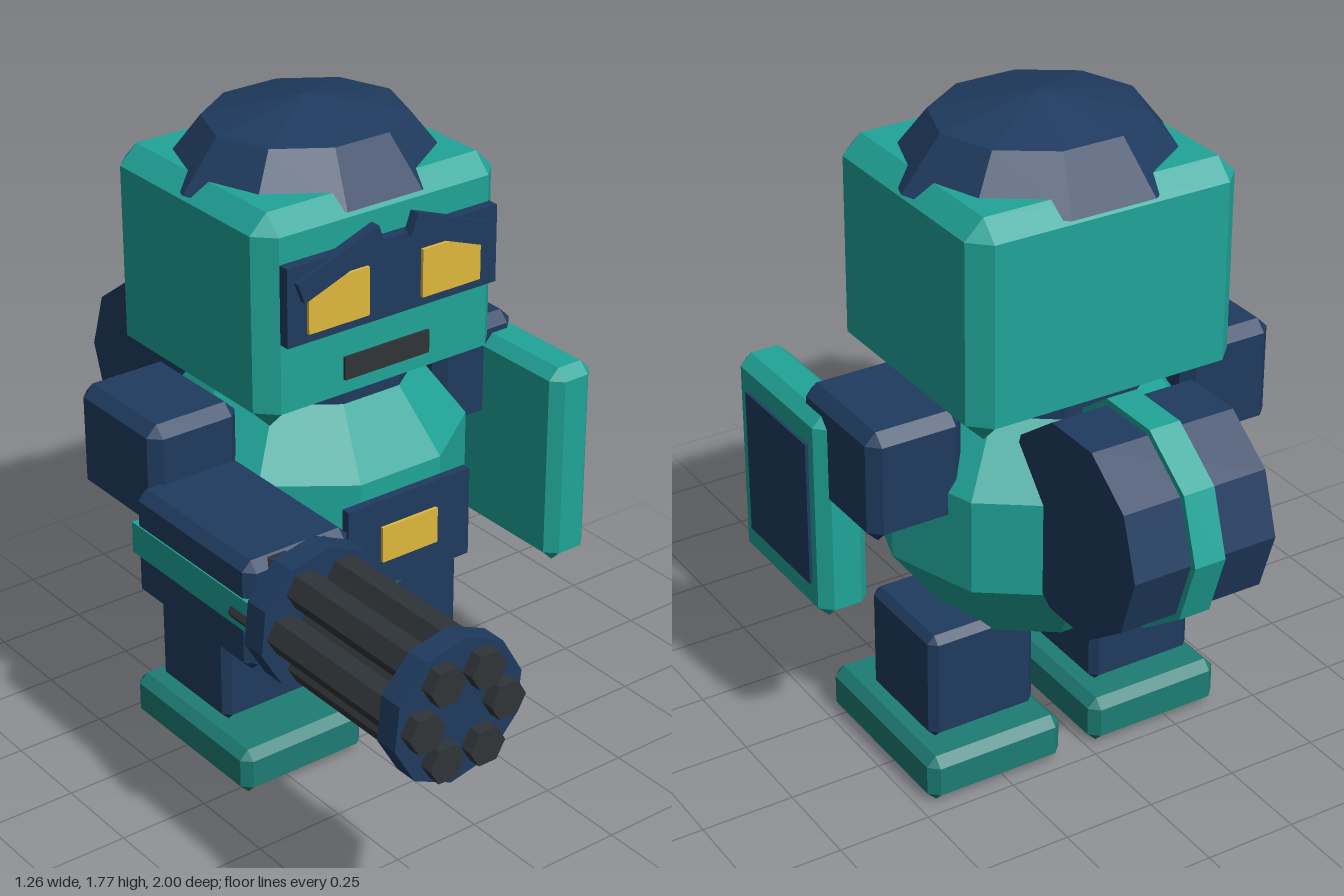
import * as THREE from 'three';

const mat = (name, color) => {
  const m = new THREE.MeshStandardMaterial({ color });
  m.name = name;
  return m;
};

// Faceted normals for any geometry
function flat(g) {
  const f = g.index ? g.toNonIndexed() : g;
  f.computeVertexNormals();
  return f;
}

// Box with chamfered top and upright edges, a recessed underside and small corner points below
function chamferBox(w, h, d, c) {
  const X = w / 2, Y = h / 2, Z = d / 2;
  const low = [], high = [], top = [], under = [], out = [];
  const tri = (...pts) => pts.forEach((p) => out.push(...p));
  for (const [sx, sz] of [[1, 1], [1, -1], [-1, -1], [-1, 1]]) {
    const p = [sx * X, sz * (Z - c)], q = [sx * (X - c), sz * Z];
    const inset = (y) => [sx * (X - c), y, sz * (Z - c)];
    const pair = sx * sz > 0 ? [q, p] : [p, q];
    for (const [x, z] of pair) {
      low.push([x, c - Y, z]);
      high.push([x, Y - c, z]);
      top.push(inset(Y));
      under.push(inset(2 * c - Y));
    }
    const [first, second] = low.slice(-2);
    tri(inset(-Y), second, first);
  }
  for (let i = 0; i < 8; i++) {
    const j = (i + 1) % 8;
    tri(low[i], low[j], high[j]);
    tri(low[i], high[j], high[i]);
    tri(high[i], high[j], top[i]);
    tri(low[j], low[i], under[i]);
    if (i % 2) {
      tri(high[j], top[j], top[i]);
      tri(low[j], under[i], under[j]);
    }
  }
  for (const [a, b] of [[2, 4], [4, 6]]) {
    tri(top[0], top[a], top[b]);
    tri(under[0], under[b], under[a]);
  }
  const g = new THREE.BufferGeometry();
  g.setAttribute('position', new THREE.Float32BufferAttribute(out, 3));
  g.computeVertexNormals();
  return g;
}

export function createModel() {
  const model = new THREE.Group();
  model.name = 'robot';
  const teal = mat('teal', 0x20a498);
  const darkTeal = mat('darkTeal', 0x1d7c74);
  const navy = mat('navy', 0x1f3b5f);
  const gold = mat('gold', 0xe0b83c);
  const grey = mat('gunmetal', 0x2f3438);

  const add = (name, geometry, material, x = 0, y = 0, z = 0) => {
    const mesh = new THREE.Mesh(geometry, material);
    mesh.name = name;
    mesh.position.set(x, y, z);
    model.add(mesh);
    return mesh;
  };
  // Boxes given by their limits on each axis; c is the chamfer
  const block = (name, material, [x0, x1], [y0, y1], [z0, z1], c = 0) => {
    const size = [x1 - x0, y1 - y0, z1 - z0];
    const g = c ? chamferBox(...size, c) : new THREE.BoxGeometry(...size);
    return add(name, g, material, (x0 + x1) / 2, (y0 + y1) / 2, (z0 + z1) / 2);
  };
  const lathe = (name, material, points, x, z) => add(name,
    flat(new THREE.LatheGeometry(points.map((p) => new THREE.Vector2(...p)), 10, Math.PI / 2)),
    material, x, 0, z);
  const MID = 0.035, BACK = -0.255;

  // Feet and legs
  for (const s of [-1, 1]) {
    const side = s > 0 ? 'left' : 'right', cx = MID + s * 0.24;
    block(side + 'Foot', darkTeal, [cx - 0.195, cx + 0.195], [0, 0.13], [-0.47, 0.05], 0.025);
    block(side + 'Leg', navy, [cx - 0.152, cx + 0.152], [0.14, 0.44], [-0.4, -0.095], 0.02);
  }

  // Body and neck
  lathe('body', teal,
    [[0, 0.42], [0.265, 0.42], [0.415, 0.62], [0.415, 0.87], [0.262, 1.07], [0, 1.07]], MID, BACK);
  lathe('neck', navy, [[0, 1.01], [0.287, 1.01], [0.287, 1.1], [0, 1.1]], MID, BACK);
  block('bellyPanel', navy, [-0.16, 0.23], [0.58, 0.83], [0.153, 0.177]);
  block('buckle', gold, [-0.057, 0.12], [0.655, 0.755], [0.177, 0.186]);

  // Head and helmet
  block('head', teal, [-0.34, 0.405], [1.055, 1.625], [-0.58, 0.078], 0.05);
  const helmet = lathe('helmet', navy,
    [[0, 1.585], [0.373, 1.585], [0.268, 1.715], [0, 1.767]], MID, BACK);
  helmet.scale.z = 0.92;

  // Face
  block('visor', navy, [-0.29, 0.36], [1.295, 1.505], [0.07, 0.108]);
  block('mouth', grey, [-0.1, 0.165], [1.145, 1.207], [0.078, 0.087]);
  for (const s of [-1, 1]) {
    const side = s > 0 ? 'left' : 'right', cx = MID + s * 0.175;
    block(side + 'Eye', gold, [cx - 0.092, cx + 0.092], [1.32, 1.45], [0.108, 0.117]);
    const brow = add(side + 'Brow', new THREE.BoxGeometry(0.26, 0.06, 0.03), navy,
      MID + s * 0.172, 1.482, 0.109);
    brow.rotation.z = -s * 0.35;
  }

  // Upper arms
  block('rightArm', navy, [-0.56, -0.295], [0.78, 1.075], [-0.43, -0.085], 0.03);
  block('leftArm', navy, [0.34, 0.6], [0.78, 1.075], [-0.43, -0.085], 0.03);

  // Shield
  block('shield', teal, [0.49, 0.626], [0.46, 1.03], [-0.22, 0.21], 0.03);
  block('shieldPanel', navy, [0.626, 0.634], [0.55, 0.945], [-0.165, 0.145]);

  // Gun forearm with band
  block('forearm', navy, [-0.603, -0.293], [0.62, 0.92], [-0.12, 0.37], 0.025);
  block('forearmBand', teal, [-0.607, -0.289], [0.74, 0.825], [-0.122, 0.372]);

  // Rotary gun
  const GX = -0.448, GY = 0.77;
  const rod = (name, material, r, sides, z0, z1, x, y) => {
    const g = new THREE.CylinderGeometry(r, r, z1 - z0, sides, 1, false, Math.PI / 6);
    add(name, flat(g.rotateX(Math.PI / 2)), material, x, y, (z0 + z1) / 2);
  };
  rod('gunCore', grey, 0.07, 8, 0.3, 0.84, GX, GY);
  rod('rearPlate', navy, 0.187, 10, 0.39, 0.46, GX, GY);
  rod('frontPlate', navy, 0.187, 10, 0.9, 0.965, GX, GY);
  for (let i = 0; i < 6; i++) {
    const a = i * Math.PI / 3;
    rod('barrel', grey, 0.051, 6, 0.3, 1, GX + 0.117 * Math.cos(a), GY + 0.117 * Math.sin(a));
  }

  // Drum on the back
  const drum = (name, material, r, width) => add(name,
    flat(new THREE.CylinderGeometry(r, r, width, 10).rotateZ(Math.PI / 2)),
    material, MID, 0.857, -0.715);
  drum('backDrum', navy, 0.268, 0.395);
  drum('backDrumBand', teal, 0.285, 0.085);

  // Small gold valve beside the drum
  const valve = add('valve', flat(new THREE.CylinderGeometry(0.058, 0.068, 0.24, 4).rotateX(Math.PI / 2)),
    gold, -0.215, 0.82, -0.535);
  valve.rotation.y = -0.56;

  return model;
}
